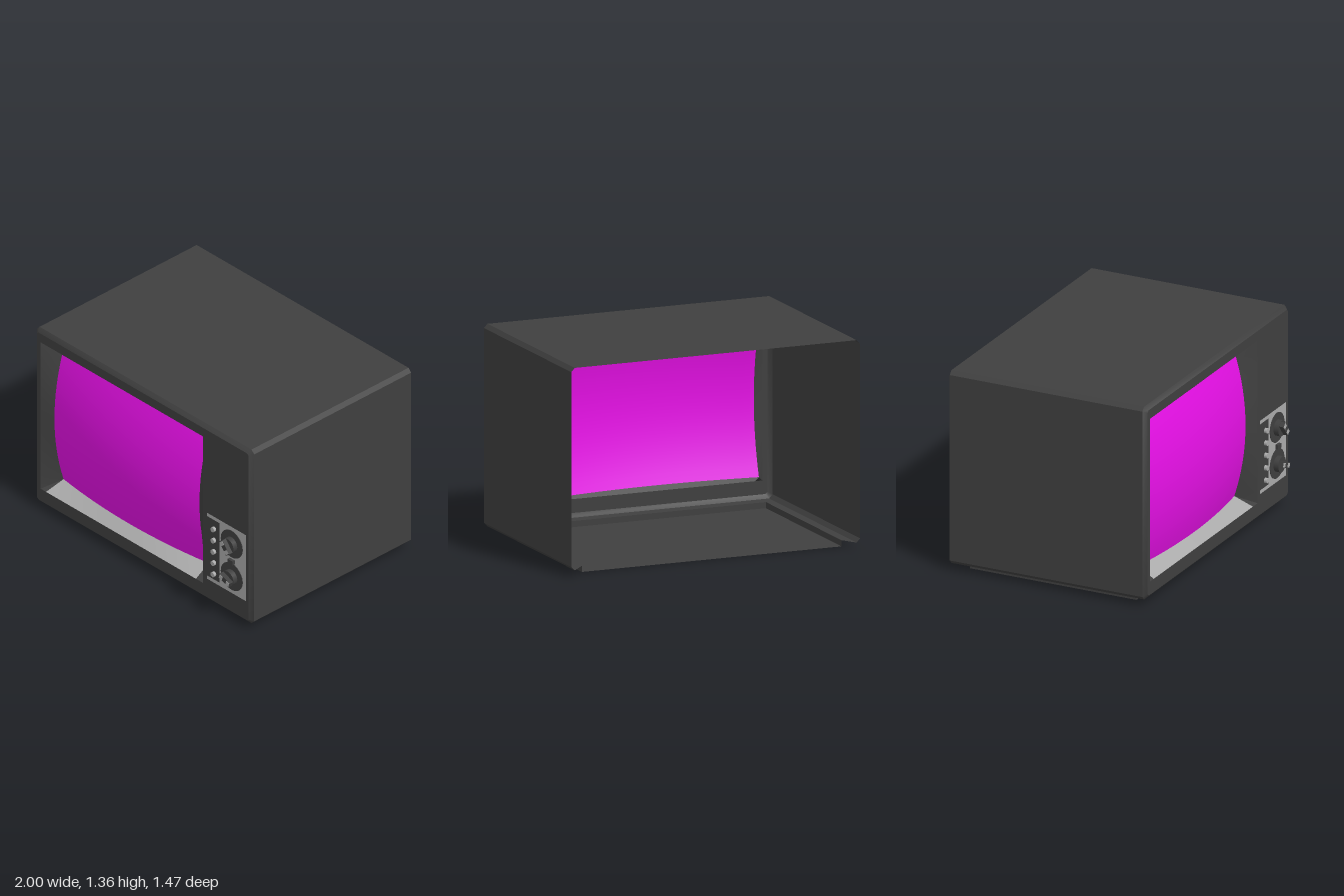
import * as THREE from 'three';
import { toCreasedNormals } from 'three/addons/utils/BufferGeometryUtils.js';

const material = (name, color) => {
  const m = new THREE.MeshStandardMaterial({ color, side: THREE.DoubleSide });
  m.name = name;
  return m;
};

// Sheet joining rows of [x, y, z] points
function sheet(rows, closed = false) {
  const n = rows[0].length, index = [];
  for (let r = 0; r + 1 < rows.length; r++) {
    for (let i = 0; i < (closed ? n : n - 1); i++) {
      const a = r * n + i, b = r * n + (i + 1) % n;
      index.push(a, b, a + n, b, b + n, a + n);
    }
  }
  const g = new THREE.BufferGeometry();
  g.setAttribute('position', new THREE.Float32BufferAttribute(rows.flat(2), 3));
  g.setIndex(index);
  g.computeVertexNormals();
  return toCreasedNormals(g, 0.6);
}

// Chamfered cabinet outline, from bottom +x corner over the top to bottom -x corner
function outline(inset, c, z) {
  const w = 1 - inset, y0 = 0.04 + inset, y1 = 1.355 - inset;
  return [[w - c, y0, z], [w, y0 + c, z], [w, y1 - c, z], [w - c, y1, z],
    [c - w, y1, z], [-w, y1 - c, z], [-w, y0 + c, z], [c - w, y0, z]];
}

const vec2 = (pts) => pts.map(([x, y]) => new THREE.Vector2(x, y));

export function createModel() {
  const tv = new THREE.Group();
  tv.name = 'television';
  const dark = material('charcoal plastic', 0x3f3f3f);
  const silver = material('silver trim', 0xaaaaaa);
  const magenta = material('magenta screen', 0xe610e6);
  const add = (name, geometry, mat, parent = tv) => {
    const m = new THREE.Mesh(geometry, mat);
    m.name = name;
    parent.add(m);
    return m;
  };

  // Cabinet: open at the back, chamfered around the front
  const F = 0.665, B = -0.73;
  add('cabinetShell', sheet([outline(0, 0.025, B), outline(0, 0.025, F - 0.025)]), dark);
  add('frontChamfer', sheet([outline(0, 0.025, F - 0.025), outline(0.025, 0.015, F)], true), dark);

  // Underside lip and hollow foot, both open at the back
  const path = (l, r, y, b, f) => [[r, y, b], [r, y, f], [l, y, f], [l, y, b]];
  const foot = [-0.915, 0.883];
  const top = path(...foot, 0.04, -0.63, 0.555), bottom = path(...foot, 0, -0.63, 0.555);
  add('undersideLip', sheet([path(-0.975, 0.975, 0.04, B, F - 0.025), top]), dark);
  add('footWalls', sheet([top, bottom]), dark);
  add('footFloor', sheet([[bottom[0], bottom[1]], [bottom[3], bottom[2]]]), dark);

  // Front face with openings for the screen and control panel
  const L = -0.94, R = 0.555, D = 0.155, U = 1.265;
  const panelOutline = vec2([[0.59, 0.205], [0.95, 0.205], [0.95, 0.705], [0.59, 0.705],
    [0.59, 0.68], [0.705, 0.68], [0.705, 0.23], [0.59, 0.23]]);
  const face = new THREE.Shape(vec2(outline(0.025, 0.015, F)));
  face.holes.push(new THREE.Path(vec2([[L, D], [R, D], [R, U], [L, U]])));
  face.holes.push(new THREE.Path(panelOutline));
  add('frontFace', new THREE.ShapeGeometry(face), dark).position.z = F;
  add('controlPanel', new THREE.ShapeGeometry(new THREE.Shape(panelOutline)), silver).position.z = F;

  // Bulging screen
  const l = -0.86, r = 0.475, d = 0.21, u = 1.2, N = 16;
  const onScreen = (x, y) => [x, y,
    0.672 - 0.052 * ((x + 0.1925) / 0.6675) ** 2 - 0.08 * ((y - 0.705) / 0.495) ** 2];
  const lerp = THREE.MathUtils.lerp;
  const steps = Array.from({ length: N + 1 }, (_, i) => i / N);
  add('screen', sheet(steps.map((v) => steps.map((s) => onScreen(lerp(l, r, s), lerp(d, u, v))))), magenta);

  // Sloping surround from the front face to the curved screen edge
  const slope = (name, a, b, c, e, mat) => add(name, sheet([
    steps.map((t) => [lerp(a[0], b[0], t), lerp(a[1], b[1], t), F]),
    steps.map((t) => onScreen(lerp(c[0], e[0], t), lerp(c[1], e[1], t))),
  ]), mat);
  slope('surroundTop', [L, U], [R, U], [l, u], [r, u], dark);
  slope('surroundRightSide', [L, D], [L, U], [l, d], [l, u], dark);
  slope('surroundLeftSide', [R, D], [R, U], [r, d], [r, u], dark);
  slope('surroundSill', [-0.89, D], [0.49, D], [l, d], [r, d], silver);
  slope('sillCornerRight', [L, D], [-0.89, D], [l, d], [l, d], dark);
  slope('sillCornerLeft', [0.49, D], [R, D], [r, d], [r, d], dark);

  // Cylinder along z between two depths
  const disc = (name, radius, x, y, z0, z1, mat) => {
    const g = new THREE.CylinderGeometry(radius, radius, z1 - z0, 24).rotateX(Math.PI / 2);
    add(name, g, mat).position.set(x, y, (z0 + z1) / 2);
  };

  // Two dials with turned grips
  for (const [y, angle] of [[0.578, -0.9], [0.332, -0.35]]) {
    disc('dialPlate', 0.1, 0.822, y, F - 0.004, F + 0.004, dark);
    disc('dialKnob', 0.053, 0.822, y, F, 0.703, dark);
    const grip = new THREE.Group();
    grip.name = 'dialGrip';
    grip.position.set(0.822, y, 0);
    grip.rotation.z = angle;
    tv.add(grip);
    add('gripBar', new THREE.BoxGeometry(0.1, 0.036, 0.034), dark, grip).position.z = 0.717;
    for (const s of [-1, 1]) {
      add('gripMark', new THREE.BoxGeometry(0.028, 0.03, 0.003), silver, grip).position.set(s * 0.032, 0, 0.7345);
    }
  }
  add('panelSwitch', new THREE.BoxGeometry(0.045, 0.03, 0.02), dark).position.set(0.825, 0.45, F + 0.01);

  // Column of push buttons
  for (let i = 0; i < 5; i++) disc('pushButton', 0.017, 0.66, 0.275 + i * 0.085, F, 0.684, silver);

  return tv;
}
